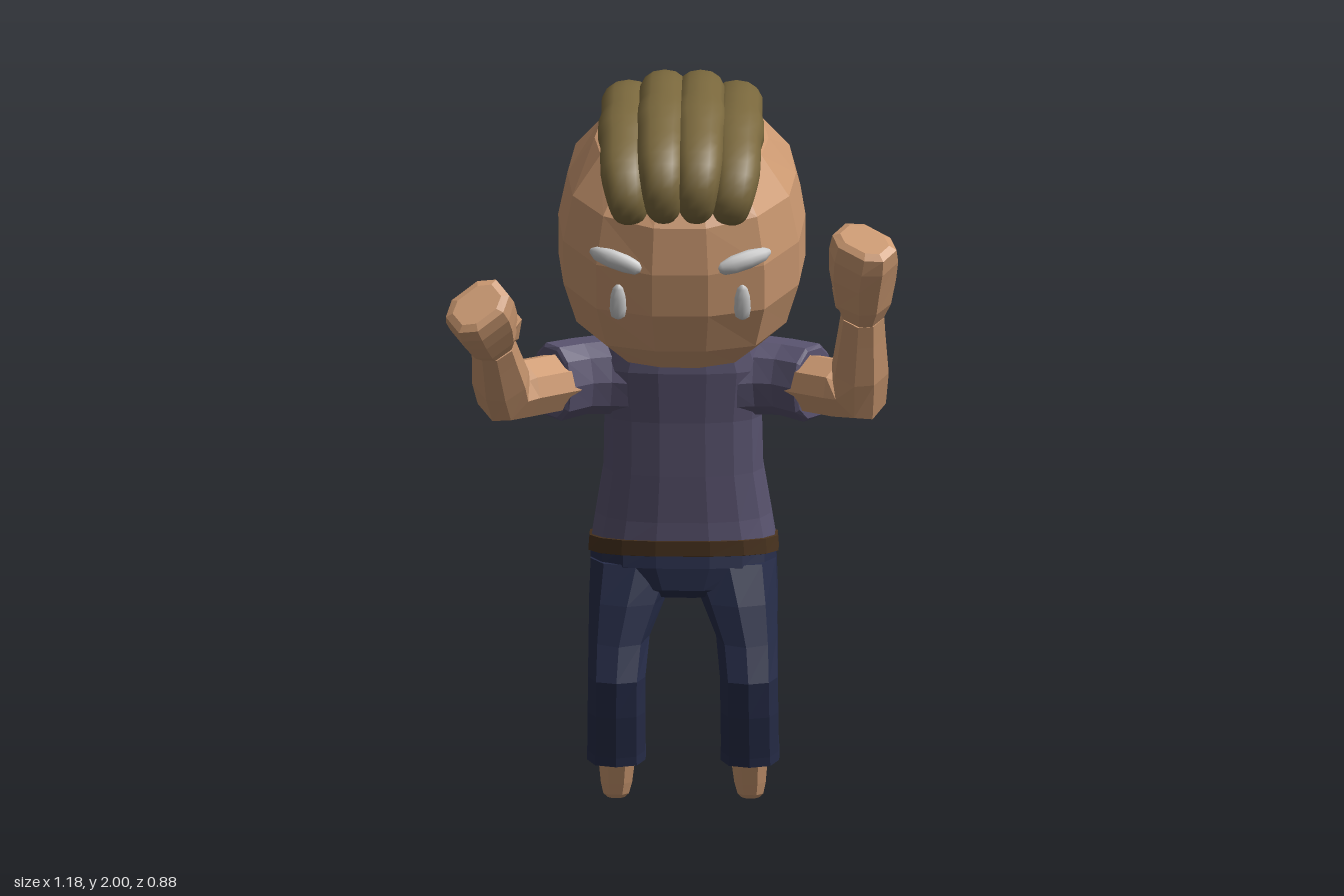
import * as THREE from 'three';

const V = (x, y, z) => new THREE.Vector3(x, y, z);
const mat = (color, flatShading = true) => new THREE.MeshStandardMaterial({ color, flatShading });
const skin = mat(0xcd9a72), shirt = mat(0x5a5470), trousers = mat(0x272d49), leather = mat(0x49331f);
const hairMat = mat(0x7a683d, false), white = mat(0xf4f4f4, false);
const MID = 0.022; // the figure's own middle lies slightly to its left

function add(parent, name, geometry, material) {
  const mesh = new THREE.Mesh(geometry, material);
  mesh.name = name;
  parent.add(mesh);
  return mesh;
}

// Skin over rings { c, u, v }; u x v points along the direction of travel
function loft(rings, sides, power = 2) {
  const pos = [], idx = [], n = rings.length;
  const bulge = a => Math.sign(a) * Math.abs(a) ** (2 / power);
  for (const { c, u, v } of rings) {
    for (let j = 0; j < sides; j++) {
      const a = ((j + 0.5) / sides) * Math.PI * 2;
      const p = c.clone().addScaledVector(u, bulge(Math.cos(a))).addScaledVector(v, bulge(Math.sin(a)));
      pos.push(p.x, p.y, p.z);
    }
  }
  pos.push(...rings[0].c.toArray(), ...rings[n - 1].c.toArray());
  for (let j = 0; j < sides; j++) {
    const k = (j + 1) % sides;
    for (let i = 0; i < n - 1; i++) {
      const a = i * sides + j, b = i * sides + k;
      idx.push(a, b, b + sides, a, b + sides, a + sides);
    }
    idx.push(n * sides, k, j, n * sides + 1, (n - 1) * sides + j, (n - 1) * sides + k);
  }
  const g = new THREE.BufferGeometry();
  g.setAttribute('position', new THREE.Float32BufferAttribute(pos, 3));
  g.setIndex(idx);
  g.computeVertexNormals();
  return g;
}

// Stack of level sections from top to bottom: [x, y, z, half width, half depth, tilt]
const stack = (rows, sides, power) => loft(rows.map(([x, y, z, rx, rz, tilt = 0]) =>
  ({ c: V(x, y, z), u: V(rx, 0, 0), v: V(0, tilt * rz, rz) })), sides, power);

// Sections square to a path: [x, y, z, radius along ref, other radius]
function sweep(rows, ref, sides, power) {
  const pts = rows.map(r => V(r[0], r[1], r[2]));
  return loft(rows.map((r, i) => {
    const t = V(0, 0, 0);
    if (i > 0) t.add(pts[i].clone().sub(pts[i - 1]).normalize());
    if (i < pts.length - 1) t.add(pts[i + 1].clone().sub(pts[i]).normalize());
    t.normalize();
    const u = ref.clone().addScaledVector(t, -ref.dot(t)).normalize();
    const v = t.clone().cross(u);
    return { c: pts[i], u: u.multiplyScalar(r[3]), v: v.multiplyScalar(r[4] ?? r[3]) };
  }), sides, power);
}

function makeHead() {
  const head = new THREE.Group();
  head.name = 'head';
  const [A, B, C, Q] = [0.326, 0.344, 0.346, 2.7];
  // Skull: squarish from above; in profile squarer at the crown and rounder at the nape
  const profile = d => 2.4 + 0.35 * d.y + 0.2 * d.z;
  const g = new THREE.SphereGeometry(1, 14, 9), p = g.attributes.position, d = V(0, 0, 0);
  for (let i = 0; i < p.count; i++) {
    d.fromBufferAttribute(p, i);
    const P = profile(d);
    const flat = (Math.abs(d.x) ** Q + Math.abs(d.z) ** Q) ** (P / Q);
    const k = (flat + Math.abs(d.y) ** P) ** (-1 / P);
    p.setXYZ(i, d.x * k * A, d.y * k * B, d.z * k * C);
  }
  add(head, 'skull', g, skin);
  const faceZ = (x, y) => {
    const P = profile(V(x / A, y / B, 0.95).normalize());
    return C * ((1 - Math.abs(y / B) ** P) ** (Q / P) - Math.abs(x / A) ** Q) ** (1 / Q);
  };
  // Eyes and slanted brows
  for (const s of [-1, 1]) {
    const side = s > 0 ? 'left' : 'right';
    const eye = [-1, -0.85, -0.4, 0.3, 0.8, 1].map((t, i) => {
      const y = -0.03 + t * 0.05, r = [0.01, 0.019, 0.023, 0.021, 0.014, 0.005][i];
      return [s * 0.163, y, faceZ(0.163, y) - 0.006, r, r * 0.75];
    });
    add(head, side + 'Eye', sweep(eye, V(1, 0, 0), 10), white);
    const brow = [-1, -0.85, -0.4, 0.2, 0.75, 1].map((t, i) => {
      const x = 0.168 + t * 0.066, y = 0.088 + t * 0.012 - t * t * 0.006;
      const r = [0.008, 0.019, 0.025, 0.026, 0.021, 0.008][i];
      return [s * x, y, faceZ(x, y) - 0.01, r, r * 0.8];
    });
    add(head, side + 'Brow', sweep(brow, V(0, 1, 0), 10), white);
  }
  head.position.set(0, 1.58, 0.006);
  head.rotation.x = 0.25;
  return head;
}

// Four swept-back locks that draw together behind: [z, y, half width, half height, spread]
function makeHair() {
  const hair = new THREE.Group();
  hair.name = 'hair';
  const rows = [
    [0.34, 1.70, 0.025, 0.014, 0.84], [0.357, 1.73, 0.045, 0.032, 0.88], [0.362, 1.79, 0.056, 0.044, 0.94],
    [0.32, 1.85, 0.063, 0.052, 1], [0.22, 1.9, 0.065, 0.054, 1], [0.08, 1.936, 0.065, 0.054, 1],
    [-0.06, 1.948, 0.064, 0.053, 1], [-0.17, 1.922, 0.054, 0.051, 0.9], [-0.245, 1.84, 0.04, 0.046, 0.72],
    [-0.285, 1.76, 0.029, 0.038, 0.55], [-0.308, 1.68, 0.018, 0.024, 0.42]];
  const line = new THREE.CatmullRomCurve3(rows.map(r => V(r[0], r[1], r[4])));
  const girth = new THREE.CatmullRomCurve3(rows.map(r => V(r[2], r[3], 0)));
  for (const k of [-1.5, -0.5, 0.5, 1.5]) {
    const drop = Math.abs(k) > 1 ? 0.028 : 0;
    const path = [];
    for (let i = 0; i <= 30; i++) {
      const a = line.getPoint(i / 30), b = girth.getPoint(i / 30);
      const front = 1 - THREE.MathUtils.smoothstep(i, 9, 18);
      path.push([k * 0.098 * a.z, a.y - drop * Math.min(1, i / 6), a.x - drop * 0.6 * front, b.x, b.y]);
    }
    add(hair, 'lock', sweep(path, V(1, 0, 0), 14, 2.2), hairMat);
  }
  return hair;
}

// Sleeve, bent arm, mitten fist and thumb; the hands are raised to different heights
function makeArm(s, elbow, wrist, palm, tip) {
  const arm = new THREE.Group(), side = s > 0 ? 'left' : 'right';
  arm.name = side + 'Arm';
  const ref = V(s * 0.13, 0.12, -0.14);
  add(arm, 'sleeve', sweep([
    [s * 0.11, 1.155, -0.158, 0.1, 0.1], [s * 0.2, 1.16, -0.158, 0.103, 0.096],
    [s * 0.27, 1.16, -0.134, 0.1, 0.088], [s * 0.338, 1.155, -0.092, 0.104, 0.084],
    [s * 0.346, 1.155, -0.086, 0.094, 0.075]], V(0, 1, 0), 10, 2.4), shirt);
  const mix = (a, b, t) => a.map((n, i) => n + (b[i] - n) * t);
  const shoulder = [s * 0.29, 1.155, -0.12];
  add(arm, 'arm', sweep([
    [...shoulder, 0.076], [...mix(shoulder, elbow, 0.75), 0.077], [...elbow, 0.079],
    [...mix(elbow, wrist, 0.3), 0.074], [...mix(elbow, wrist, 0.75), 0.062], [...wrist, 0.056]], ref, 8, 2.3), skin);
  const end = mix(palm, tip, 1.1);
  add(arm, 'fist', sweep([
    [...mix(wrist, palm, -0.2), 0.045, 0.045], [...mix(wrist, palm, 0.35), 0.066, 0.074],
    [...palm, 0.076, 0.088], [...mix(palm, tip, 0.6), 0.074, 0.092], [...tip, 0.062, 0.088],
    [...end, 0.045, 0.068]], ref, 8, 2.6), skin);
  const root = mix(wrist, palm, 0.15);
  add(arm, 'thumb', sweep([
    [root[0] - s * 0.02, root[1], root[2], 0.03], [root[0] - s * 0.042, root[1] + 0.02, root[2] + 0.005, 0.034],
    [root[0] - s * 0.05, root[1] + 0.06, root[2] + 0.03, 0.03],
    [root[0] - s * 0.04, root[1] + 0.09, root[2] + 0.05, 0.016]], V(0, 0, 1), 6), skin);
  return arm;
}

function makeLeg(s) {
  const leg = new THREE.Group();
  leg.name = (s > 0 ? 'left' : 'right') + 'Leg';
  // Trouser leg with bent knee and slanted cuff
  add(leg, 'trouserLeg', stack([
    [s * 0.122, 0.65, -0.27, 0.125, 0.145], [s * 0.146, 0.56, -0.245, 0.104, 0.148, -0.1],
    [s * 0.167, 0.47, -0.2, 0.083, 0.12, -0.25], [s * 0.173, 0.36, -0.146, 0.078, 0.088, -0.15],
    [s * 0.174, 0.26, -0.162, 0.078, 0.081, -0.15], [s * 0.175, 0.15, -0.194, 0.078, 0.077, -0.25],
    [s * 0.175, 0.125, -0.201, 0.08, 0.078, -0.25], [s * 0.175, 0.124, -0.201, 0.062, 0.06, -0.25]], 10, 2.8), trousers);
  // Small bare foot pointing down
  add(leg, 'foot', stack([
    [s * 0.174, 0.16, -0.2, 0.05, 0.05], [s * 0.174, 0.1, -0.216, 0.05, 0.056],
    [s * 0.175, 0.045, -0.232, 0.044, 0.048], [s * 0.176, 0.012, -0.237, 0.036, 0.038],
    [s * 0.176, 0, -0.238, 0.024, 0.026]], 8, 2.4), skin);
  return leg;
}

export function createModel() {
  const model = new THREE.Group();
  model.name = 'figure';
  const body = new THREE.Group();
  body.name = 'body';
  body.position.x = MID;
  model.add(body);

  body.add(makeHead(), makeHair());
  add(body, 'neck', stack([
    [0, 1.36, -0.09, 0.1, 0.09], [0, 1.29, -0.118, 0.105, 0.09], [0, 1.2, -0.14, 0.125, 0.1]], 10), skin);
  // Leaning shirt
  add(body, 'shirt', stack([
    [0, 1.256, -0.135, 0.125, 0.085, 0.2], [0, 1.245, -0.138, 0.2, 0.103, 0.12], [0, 1.19, -0.155, 0.224, 0.12],
    [0, 1.05, -0.195, 0.209, 0.131], [0, 0.9, -0.231, 0.212, 0.146], [0, 0.77, -0.273, 0.232, 0.168],
    [0, 0.69, -0.278, 0.246, 0.167, 0.1]], 16, 2.6), shirt);
  add(body, 'belt', stack([
    [0, 0.706, -0.277, 0.24, 0.16, 0.1], [0, 0.703, -0.277, 0.25, 0.171, 0.1],
    [0, 0.662, -0.278, 0.253, 0.168, 0.1], [0, 0.658, -0.278, 0.24, 0.155, 0.1]], 16, 2.6), leather);
  add(body, 'hips', stack([
    [0, 0.68, -0.277, 0.247, 0.162, 0.1], [0, 0.63, -0.267, 0.246, 0.157, 0.1],
    [0, 0.585, -0.255, 0.19, 0.14], [0, 0.56, -0.25, 0.12, 0.11]], 16, 2.6), trousers);

  body.add(
    makeArm(-1, [-0.467, 1.158, 0.035], [-0.492, 1.34, 0.225], [-0.515, 1.42, 0.315], [-0.53, 1.48, 0.395]),
    makeArm(1, [0.465, 1.16, 0.025], [0.476, 1.4, 0.145], [0.476, 1.52, 0.192], [0.482, 1.618, 0.245]),
    makeLeg(-1), makeLeg(1));
  return model;
}
